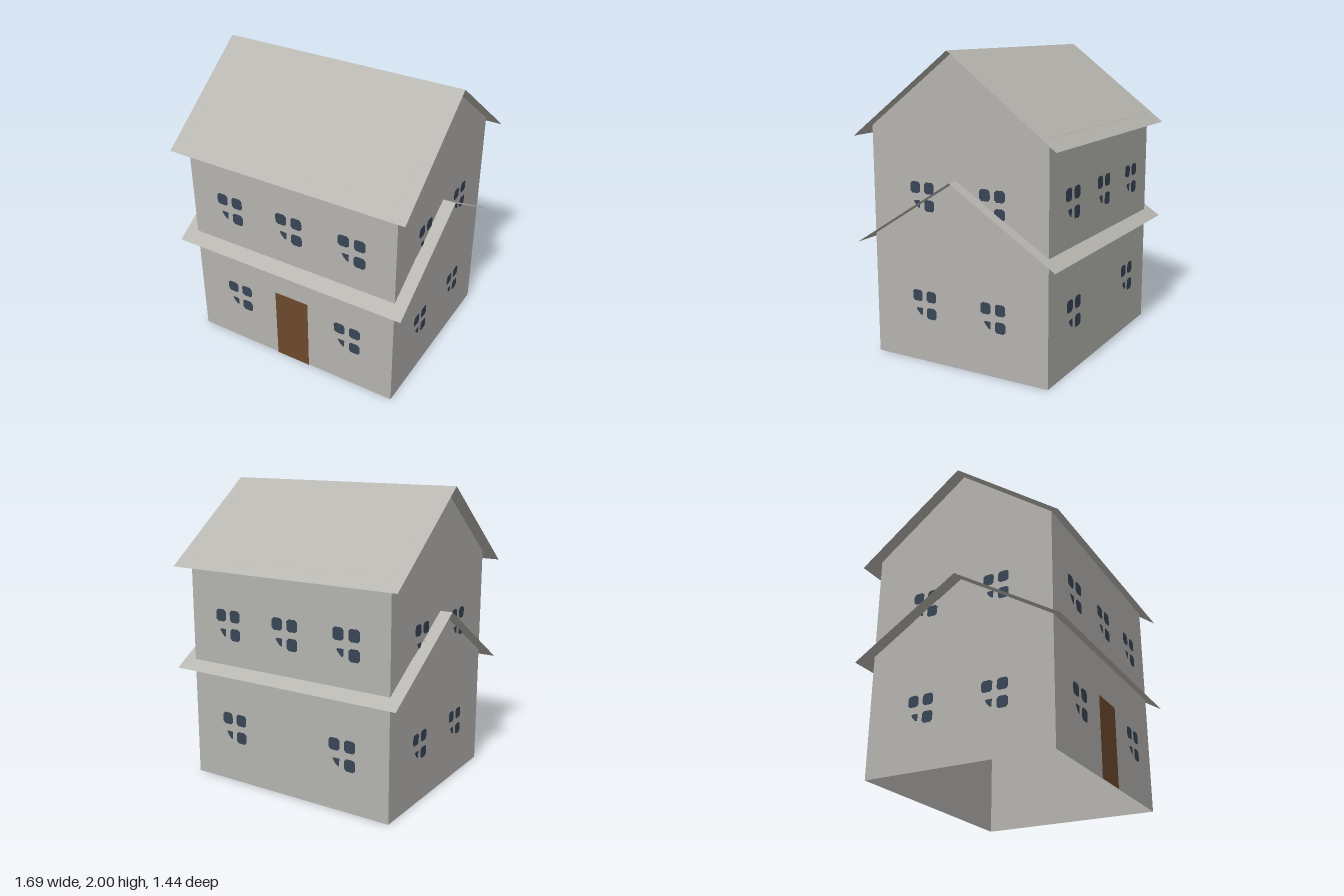
import * as THREE from 'three';

const mat = (name, color) => {
  const m = new THREE.MeshStandardMaterial({ color, side: THREE.DoubleSide });
  m.name = name;
  return m;
};

const HALF_W = 0.76, HALF_D = 0.635, EAVE = 1.52, RIDGE = 2;
const ROOF_W = 1.69, ROOF_D = 1.44;

const polygon = (pts) => new THREE.Shape(pts.map(([x, y]) => new THREE.Vector2(x, y)));

export function createModel() {
  const wallMat = mat('stone wall', 0xb4b3af);
  const roofMat = mat('stone roof', 0xb7b5af);
  const doorMat = mat('brown wood', 0x6c482d);
  const glassMat = mat('blue glass', 0x384656);

  const house = new THREE.Group();
  house.name = 'house';

  const add = (parent, name, geo, material, x = 0, y = 0, z = 0) => {
    const mesh = new THREE.Mesh(geo, material);
    mesh.name = name;
    mesh.position.set(x, y, z);
    parent.add(mesh);
    return mesh;
  };

  // Folded sheet with its ridge along x
  const roof = (name, eaveY, ridgeY) => {
    const plane = new THREE.PlaneGeometry(ROOF_W, ROOF_D, 1, 2).rotateX(-Math.PI / 2);
    const geo = plane.toNonIndexed();
    const p = geo.attributes.position;
    const slope = (ridgeY - eaveY) / (ROOF_D / 2);
    for (let i = 0; i < p.count; i++) p.setY(i, ridgeY - Math.abs(p.getZ(i)) * slope);
    geo.computeVertexNormals();
    add(house, name, geo, roofMat);
  };

  // Chamfered panes; the lower left one is only a small corner piece
  const a = 0.037, b = 0.023;
  const paneGeo = new THREE.ShapeGeometry(polygon([
    [-b, -a], [b, -a], [a, -b], [a, b], [b, a], [-b, a], [-a, b], [-a, -b],
  ]));
  const cornerGeo = new THREE.ShapeGeometry(polygon([
    [-0.063, 0.012], [-0.05, -0.008], [-0.032, -0.027], [-0.018, -0.03], [-0.016, 0.018], [-0.055, 0.018],
  ]));
  const frameGeo = new THREE.PlaneGeometry(0.19, 0.21);

  const addWindow = (side, x, y, scale) => {
    const w = new THREE.Group();
    w.name = 'window';
    w.position.set(x, y, 0);
    w.scale.set(scale, scale, 1);
    add(w, 'windowPlate', frameGeo, wallMat, 0, 0, 0.003);
    for (const [px, py] of [[-0.052, 0.056], [0.052, 0.056], [0.052, -0.056]])
      add(w, 'pane', paneGeo, glassMat, px, py, 0.006);
    add(w, 'cornerPane', cornerGeo, glassMat, 0, -0.044, 0.006);
    side.add(w);
  };

  // Each wall is built facing +z, then turned into place
  const wallSide = (name, angle, distance, pts) => {
    const side = new THREE.Group();
    side.name = name;
    side.rotation.y = angle;
    side.position.set(Math.sin(angle) * distance, 0, Math.cos(angle) * distance);
    add(side, name + 'Surface', new THREE.ShapeGeometry(polygon(pts)), wallMat);
    house.add(side);
    return side;
  };

  // Long walls, front and back
  const longWall = [[-HALF_W, 0], [HALF_W, 0], [HALF_W, EAVE], [-HALF_W, EAVE]];
  const front = wallSide('frontWall', 0, HALF_D, longWall);
  const back = wallSide('backWall', Math.PI, HALF_D, longWall);
  for (const side of [front, back]) {
    for (const x of [-0.457, 0, 0.457]) addWindow(side, x, 1.09, 1.1);
    for (const x of [-0.427, 0.427]) addWindow(side, x, 0.382, 1.1);
  }

  // Gable walls
  const gable = [[-HALF_D, 0], [HALF_D, 0], [HALF_D, EAVE], [0, RIDGE], [-HALF_D, EAVE]];
  for (const [name, s] of [['leftGable', 1], ['rightGable', -1]]) {
    const side = wallSide(name, s * Math.PI / 2, HALF_W, gable);
    for (const x of [-0.255, 0.255])
      for (const y of [0.386, 1.094]) addWindow(side, x, y, 1);
  }

  // Door
  add(front, 'door', new THREE.PlaneGeometry(0.255, 0.535), doorMat, -0.002, 0.2675, 0.005);

  // Main roof, and the lower roof that runs through the walls
  roof('upperRoof', 1.455, RIDGE);
  roof('lowerRoof', 0.76, 1.215);

  return house;
}
